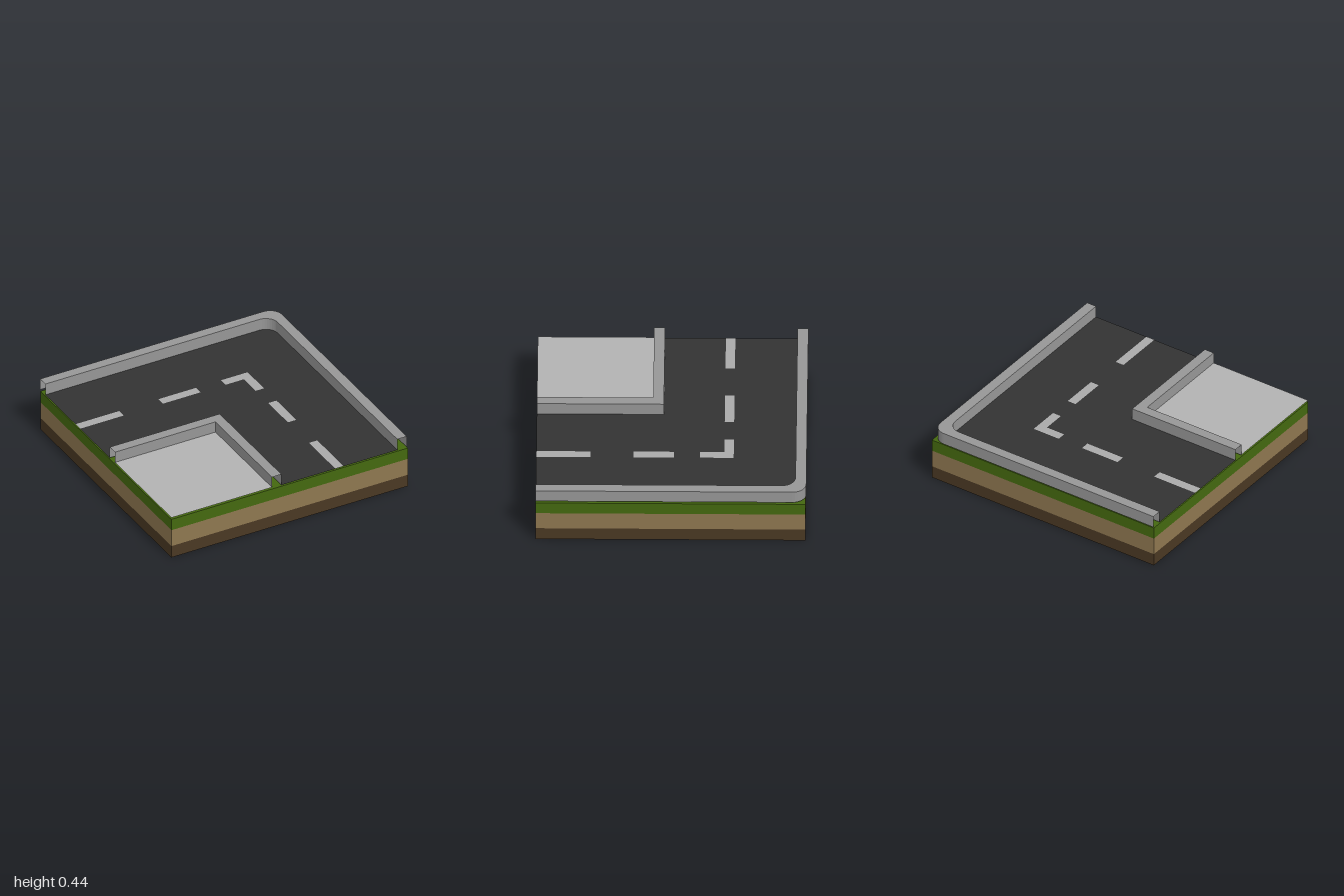
import * as THREE from 'three';

const BASE_TOP = 0.335, ROAD_Y = 0.345, CURB_TOP = 0.44;

function makeMaterial(color, extra = {}) {
  return new THREE.MeshStandardMaterial({ color, flatShading: true, ...extra });
}

// Flat upward-facing slab from [x, z] corners
function flat(name, points, y, material) {
  const shape = new THREE.Shape(points.map(([x, z]) => new THREE.Vector2(x, -z)));
  const mesh = new THREE.Mesh(new THREE.ShapeGeometry(shape).rotateX(-Math.PI / 2), material);
  mesh.position.y = y;
  mesh.name = name;
  return mesh;
}

const rect = (x0, x1, z0, z1) => [[x0, z0], [x1, z0], [x1, z1], [x0, z1]];

// Path along the back edge, round the right corner, then to the front
function cornerPath(x, z, radius, steps = 8) {
  const path = [[-1, z]];
  for (let i = 0; i <= steps; i++) {
    const a = (i / steps) * Math.PI / 2;
    path.push([x - radius + radius * Math.sin(a), z + radius - radius * Math.cos(a)]);
  }
  path.push([x, 1]);
  return path;
}

// Hollow kerb: outer wall, top and inner wall, open at its ends
function kerb(name, outer, inner, material) {
  const section = i => [
    [outer[i][0], ROAD_Y, outer[i][1]],
    [outer[i][0], CURB_TOP, outer[i][1]],
    [inner[i][0], CURB_TOP, inner[i][1]],
    [inner[i][0], ROAD_Y, inner[i][1]],
  ];
  const positions = [];
  for (let i = 0; i < outer.length - 1; i++) {
    const s = section(i), t = section(i + 1);
    for (let k = 0; k < 3; k++) {
      positions.push(...s[k], ...s[k + 1], ...t[k], ...s[k + 1], ...t[k + 1], ...t[k]);
    }
  }
  const geometry = new THREE.BufferGeometry();
  geometry.setAttribute('position', new THREE.Float32BufferAttribute(positions, 3));
  geometry.computeVertexNormals();
  const mesh = new THREE.Mesh(geometry, material);
  mesh.name = name;
  return mesh;
}

export function createModel() {
  const group = new THREE.Group();
  const double = { side: THREE.DoubleSide };
  const grass = makeMaterial(0x44680f);
  const asphalt = makeMaterial(0x333333, double);
  const concrete = makeMaterial(0x969696, double);
  const paving = makeMaterial(0xb2b2b2, double);
  const paint = makeMaterial(0xaaaaaa, double);

  // Layered ground block: square bands of soil and turf
  const layers = [
    ['darkSoil', 0, 0.1, makeMaterial(0x4a3823)],
    ['lightSoil', 0.1, 0.24, makeMaterial(0x8e7750)],
    ['turfEdge', 0.24, BASE_TOP, grass],
  ];
  for (const [name, y0, y1, material] of layers) {
    const geometry = new THREE.CylinderGeometry(Math.SQRT2, Math.SQRT2, y1 - y0, 4, 1, true)
      .rotateY(Math.PI / 4)
      .scale(1, 1, 0.9975)
      .translate(0, (y0 + y1) / 2, 0.0025);
    const band = new THREE.Mesh(geometry, material);
    band.name = name;
    group.add(band);
  }
  group.add(flat('turfTop', rect(-1, 1, -0.995, 1), BASE_TOP, grass));
  const underside = flat('underside', rect(-1, 1, -1, 0.995), 0, grass);
  underside.rotation.x = Math.PI;
  group.add(underside);

  // Bent road surface and the pavement inside the bend
  const roadEdge = cornerPath(0.91, -0.92, 0.1);
  group.add(flat('road', [...roadEdge, [-0.07, 1], [-0.07, 0.06], [-1, 0.06]], ROAD_Y, asphalt));
  group.add(flat('pavement', rect(-1, -0.15, 0.14, 1), 0.35, paving));

  // Kerbs
  group.add(kerb('outerKerb', cornerPath(0.99, -1, 0.1), roadEdge, concrete));
  group.add(kerb('innerKerb',
    [[-1, 0.06], [-0.07, 0.06], [-0.07, 1]],
    [[-1, 0.14], [-0.15, 0.14], [-0.15, 1]], concrete));

  // Centre line dashes, with an angled dash at the bend
  const markings = new THREE.Group();
  markings.name = 'laneMarkings';
  for (const [x0, x1] of [[-1, -0.63], [-0.3, 0.02]]) {
    markings.add(flat('dash', rect(x0, x1, -0.46, -0.39), ROAD_Y + 0.002, paint));
  }
  for (const [z0, z1] of [[-0.02, 0.28], [0.6, 1]]) {
    markings.add(flat('dash', rect(0.385, 0.455, z0, z1), ROAD_Y + 0.002, paint));
  }
  markings.add(flat('cornerDash', [
    [0.23, -0.46], [0.455, -0.46], [0.455, -0.21], [0.385, -0.21], [0.385, -0.39], [0.23, -0.39],
  ], ROAD_Y + 0.002, paint));
  group.add(markings);

  return group;
}
